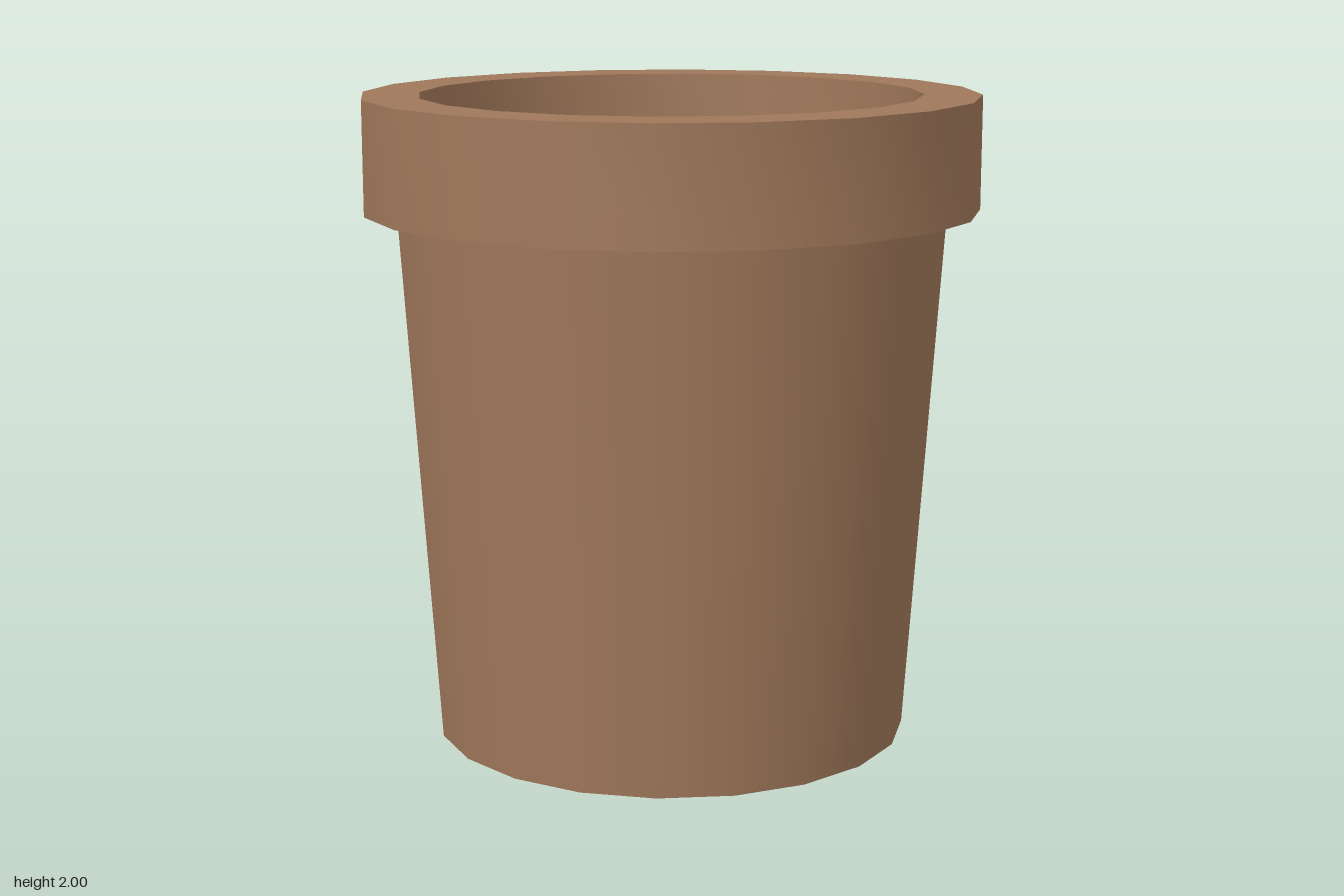
import * as THREE from 'three';
import { toCreasedNormals } from 'three/addons/utils/BufferGeometryUtils.js';

const SIDES = 20;
const RIM_BOTTOM = 1.65, RIM_TOP = 2, SOIL_Y = 1.76;
const OPEN_X = 0.774, OPEN_Z = 0.762;

// Points of a 20-sided oval, with corners on the axes
function oval(rx, ry) {
  return Array.from({ length: SIDES }, (_, i) => {
    const a = (i / SIDES) * Math.PI * 2;
    return new THREE.Vector2(Math.cos(a) * rx, Math.sin(a) * ry);
  });
}

export function createModel() {
  const clay = new THREE.MeshStandardMaterial({ color: 0xa0785a });
  clay.name = 'clay';
  const earth = new THREE.MeshStandardMaterial({ color: 0x653a25 });
  earth.name = 'earth';

  const pot = new THREE.Group();
  pot.name = 'flowerPot';
  const add = (name, geometry, material, y) => {
    const mesh = new THREE.Mesh(geometry, material);
    mesh.name = name;
    mesh.position.y = y;
    pot.add(mesh);
  };

  // Tapered body, open where the rim sits on it
  add('body', new THREE.CylinderGeometry(0.85, 0.74, RIM_BOTTOM, SIDES, 1, true), clay, RIM_BOTTOM / 2);

  // Flat underside
  add('base', new THREE.CircleGeometry(0.74, SIDES).rotateX(Math.PI / 2), clay, 0);

  // Thick collar with the opening cut through it
  const collar = new THREE.Shape(oval(0.95, 0.95));
  collar.holes.push(new THREE.Path(oval(OPEN_X, OPEN_Z)));
  const rim = new THREE.ExtrudeGeometry(collar, { depth: RIM_TOP - RIM_BOTTOM, bevelEnabled: false });
  rim.rotateX(-Math.PI / 2);
  add('rim', toCreasedNormals(rim, 0.6), clay, RIM_BOTTOM);

  // Soil surface filling the opening
  add('soil', new THREE.ShapeGeometry(new THREE.Shape(oval(OPEN_X, OPEN_Z))).rotateX(-Math.PI / 2), earth, SOIL_Y);

  return pot;
}
